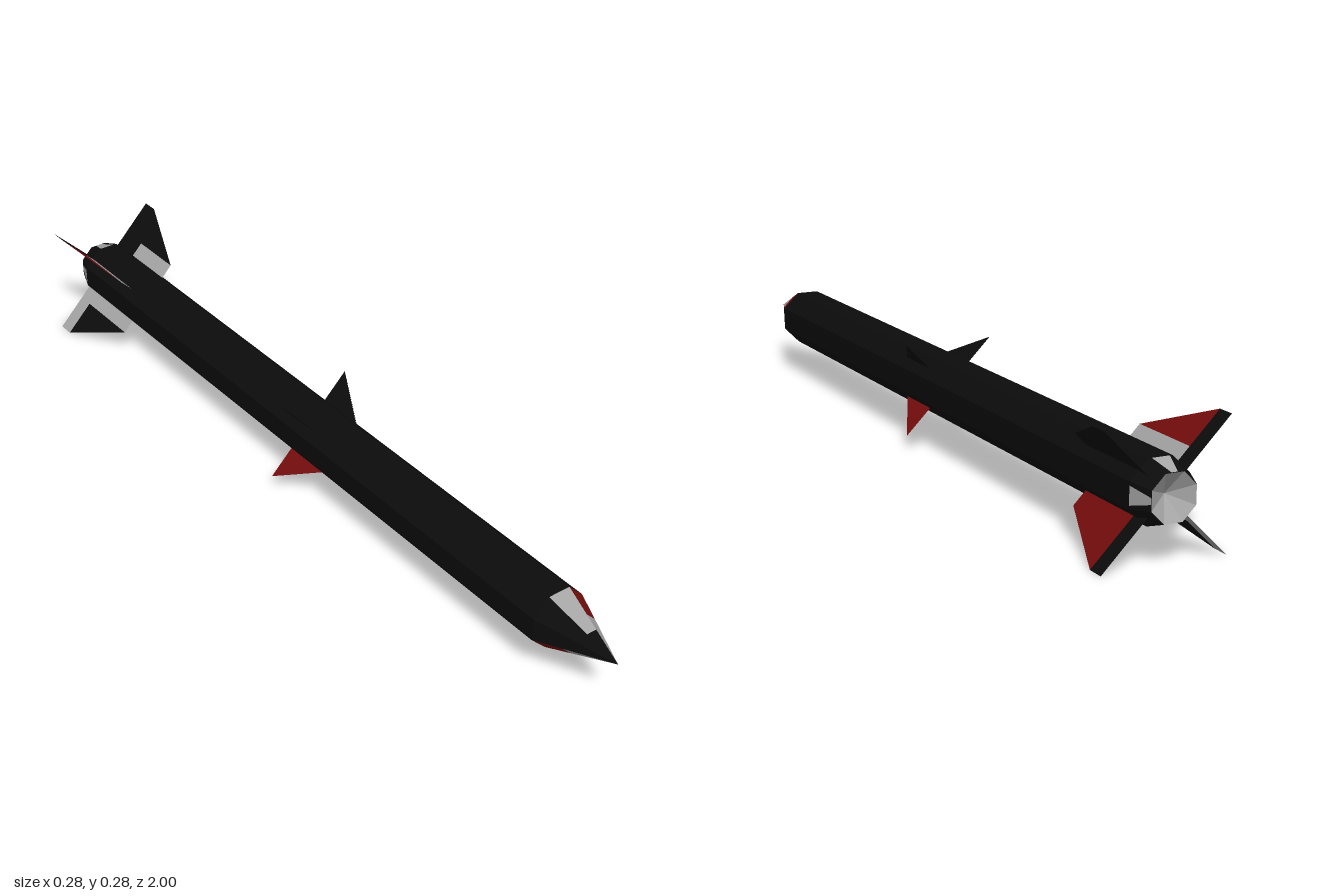
import * as THREE from 'three';

const mat = (name, color, side = THREE.FrontSide) =>
  Object.assign(new THREE.MeshStandardMaterial({ color, side }), { name });

// One flat-shaded mesh from convex polygons (lists of [x, y, z] corners)
function panels(name, material, polygons) {
  const pos = [];
  for (const p of polygons)
    for (let i = 1; i < p.length - 1; i++) pos.push(...p[0], ...p[i], ...p[i + 1]);
  const geo = new THREE.BufferGeometry();
  geo.setAttribute('position', new THREE.Float32BufferAttribute(pos, 3));
  geo.computeVertexNormals();
  const mesh = new THREE.Mesh(geo, material);
  mesh.name = name;
  return mesh;
}

const STEP = Math.PI / 4;
const ALL = [0, 1, 2, 3, 4, 5, 6, 7];
const R = 0.0725;          // corner radius of the eight-sided body
const AXIS = 0.142;        // height of the body axis
const NOSE = 0.82, TAIL = -0.95, TAIL_R = 0.054;

// Facet k of an eight-sided band along z, from (z0, r0) forward to (z1, r1)
function facet(k, z0, r0, z1, r1) {
  const pt = (a, r, z) => [Math.cos(a) * r, Math.sin(a) * r, z];
  const a = (k - 0.5) * STEP, b = (k + 0.5) * STEP;
  const p = [pt(a, r0, z0), pt(b, r0, z0), pt(b, r1, z1), pt(a, r1, z1)];
  if (r1 === 0) p.pop();
  if (r0 === 0) p.splice(1, 1);
  return p;
}

export function createModel() {
  const black = mat('black', 0x0c0c0c);
  const red = mat('darkRed', 0x760d0d);
  const grey = mat('grey', 0xa6a6a6);

  const model = new THREE.Group();
  model.name = 'rocket';
  const body = new THREE.Group();
  body.name = 'airframe';
  body.position.y = AXIS;
  model.add(body);

  // Body tube and tapered tail
  body.add(panels('bodyTube', black, ALL.map(k => facet(k, TAIL, R, NOSE, R))));
  body.add(panels('tailTaper', black, ALL.map(k => facet(k, -1, TAIL_R, TAIL, R))));

  // Recessed exhaust cone, facing backward
  body.add(panels('exhaustCone', grey,
    ALL.map(k => facet(k, -1, TAIL_R, -0.965, 0).reverse())));

  // Nose cone: per facet the colour behind and in front of a split line
  const noseColours = { 1: [red, grey, 0.885], 2: [grey, black, 0.92], 5: [red, grey, 0.885] };
  const byColour = new Map([[black, []], [red, []], [grey, []]]);
  for (const k of ALL) {
    const [rear, fore, z] = noseColours[k] || [black, black, 0.9];
    const r = R * (1 - z) / (1 - NOSE);
    byColour.get(rear).push(facet(k, NOSE, R, z, r));
    byColour.get(fore).push(facet(k, z, r, 1, 0));
  }
  for (const [m, polys] of byColour) body.add(panels(m.name + 'NosePanels', m, polys));

  // Small grey plates on the tail taper
  const h0 = R * Math.cos(STEP / 2) + 0.001, h1 = TAIL_R * Math.cos(STEP / 2) + 0.001;
  for (let i = 0; i < 4; i++) {
    const plate = panels('tailPlate', grey,
      [[[h1, -0.007, -0.999], [h1, 0.007, -0.999], [h0, 0.02, TAIL], [h0, -0.02, TAIL]]]);
    plate.rotation.z = i * Math.PI / 2;
    body.add(plate);
  }

  // Tail fin regions as [radius, z] corners
  const regions = {
    RootFront: [[0.062, -0.9], [0.062, -0.755], [0.106, -0.755], [0.106, -0.9]],
    RootRear: [[0.062, -0.935], [0.062, -0.9], [0.106, -0.9], [0.106, -0.935]],
    Blade: [[0.106, -0.935], [0.106, -0.755], [0.2, -0.935]],
    TrailingStrip: [[0.055, -0.975], [0.055, -0.935], [0.2, -0.935], [0.2, -0.975]],
  };
  // One painted side of a fin; side is +1 or -1
  const finSide = (pts, side) => {
    const p = pts.map(([r, z]) => [r, side * 0.0005, z]);
    return side > 0 ? p : p.reverse();
  };

  // Fins on the four diagonals: tail colours on both sides, then the middle fin colour
  const fins = [
    { plus: [grey, black, black, black], minus: [black, black, black, black], mid: black },
    { plus: [red, red, red, black], minus: [grey, grey, red, black], mid: black },
    { plus: [grey, grey, black, grey], minus: [grey, grey, black, grey], mid: red },
    { plus: [red, red, red, black], minus: [red, red, red, black], mid: red },
  ];
  const midShape = [[0.06, -0.045], [0.06, 0.09], [0.066, 0.08], [0.151, -0.045]];
  fins.forEach(({ plus, minus, mid }, i) => {
    const fin = new THREE.Group();
    fin.name = 'finPair';
    fin.rotation.z = (i + 0.5) * Math.PI / 2;
    Object.entries(regions).forEach(([part, pts], j) => {
      fin.add(panels('tailFin' + part, plus[j], [finSide(pts, 1)]));
      fin.add(panels('tailFin' + part, minus[j], [finSide(pts, -1)]));
    });
    fin.add(panels('middleFin', mid, [finSide(midShape, 1), finSide(midShape, -1)]));
    body.add(fin);
  });

  return model;
}
